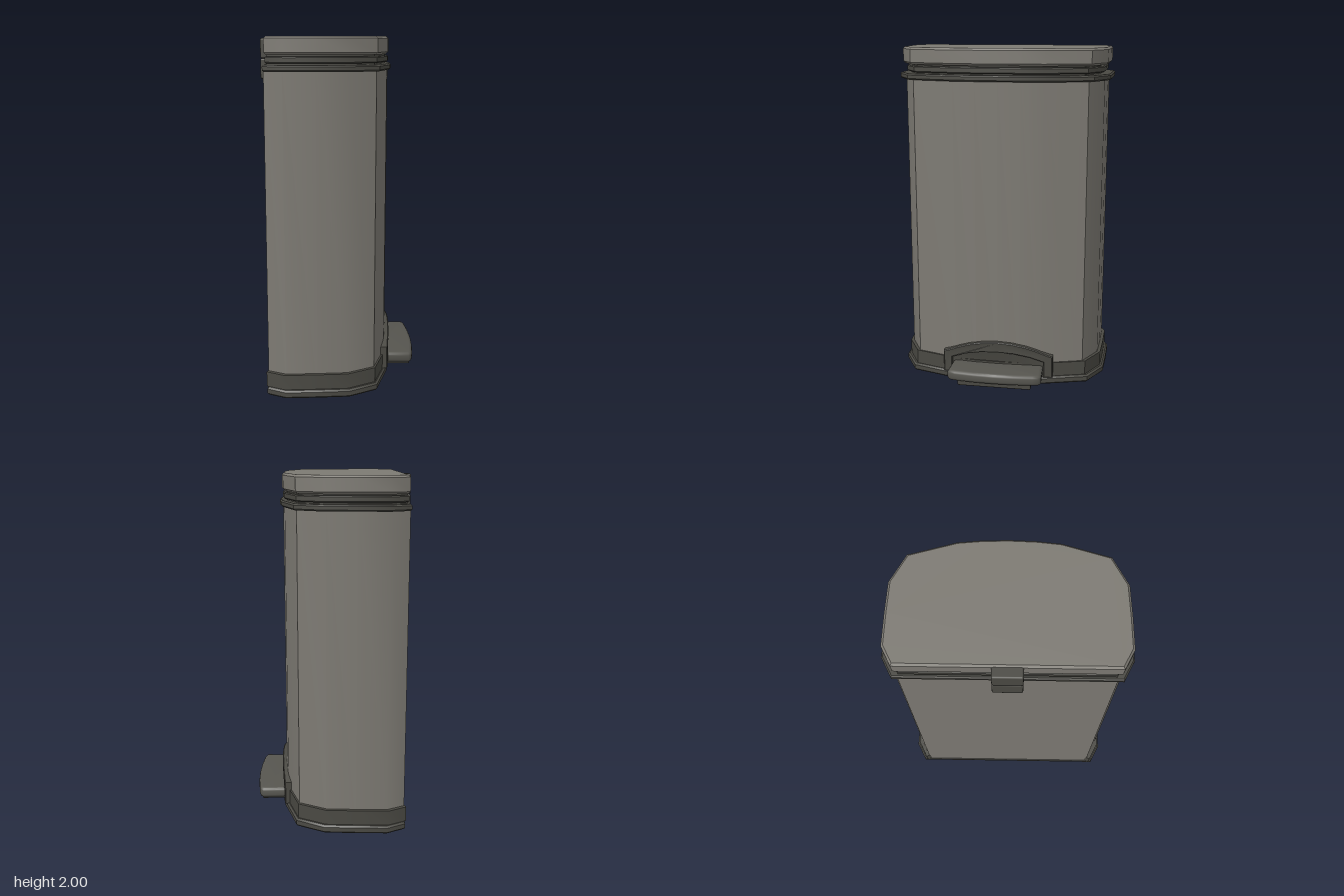
import * as THREE from 'three';
import { toCreasedNormals } from 'three/addons/utils/BufferGeometryUtils.js';
import { RoundedBoxGeometry } from 'three/addons/geometries/RoundedBoxGeometry.js';

const steel = new THREE.MeshStandardMaterial({ color: 0x7d7a73 });
const plastic = new THREE.MeshStandardMaterial({ color: 0x4a4943 });
const pedalMaterial = new THREE.MeshStandardMaterial({ color: 0x56554f });

// Half of the D-shaped footprint: x runs 0 (flat back) to 1 (front), z runs 0 to 1
const HALF = [[1, 0], [0.994, 0.22], [0.975, 0.43], [0.868, 0.84], [0.645, 0.977],
  [0.4, 0.992], [0.147, 1], [0, 0.915]];

// Footprint points from one back corner round the front to the other
function outline(back, front, halfDepth) {
  const side = HALF.map(([x, z]) => new THREE.Vector2(back + x * (front - back), z * halfDepth));
  const other = side.slice(1).reverse().map((p) => new THREE.Vector2(p.x, -p.y));
  return [...other, ...side];
}

// Extrude with a bevel that stays inside the given size
function extrude(points, depth, bevel, crease = 0.6, segments = 1) {
  const geometry = new THREE.ExtrudeGeometry(new THREE.Shape(points), {
    depth: depth - 2 * bevel, bevelEnabled: bevel > 0, bevelThickness: bevel,
    bevelSize: bevel, bevelOffset: -bevel, bevelSegments: segments,
  });
  geometry.translate(0, 0, bevel);
  return toCreasedNormals(geometry, crease);
}

// Horizontal slab between two heights
function slab(points, y0, y1, bevel, crease, segments) {
  return extrude(points, y1 - y0, bevel, crease, segments).rotateX(-Math.PI / 2).translate(0, y0, 0);
}

// Upright plate drawn in (z, y), bent to follow the curved front
function frontPlate(points, depth, front, bevel) {
  const geometry = extrude(points, depth, bevel).rotateY(Math.PI / 2);
  const position = geometry.attributes.position;
  for (let i = 0; i < position.count; i++) {
    const z = position.getZ(i);
    position.setX(i, position.getX(i) - depth + front - 0.215 * z * z);
  }
  geometry.computeVertexNormals();
  return toCreasedNormals(geometry, 0.6);
}

// Mirror a half profile that ends on the centre line
function mirrored(half) {
  const points = half.map(([x, y]) => new THREE.Vector2(x, y));
  return [...points, ...points.slice(0, -1).reverse().map((p) => new THREE.Vector2(-p.x, p.y))];
}

export function createModel() {
  const group = new THREE.Group();
  const add = (name, geometry, material) => {
    const mesh = new THREE.Mesh(geometry, material);
    mesh.name = name;
    group.add(mesh);
  };

  // Main bin
  add('body', slab(outline(-0.41, 0.285, 0.605), 0.03, 1.83, 0), steel);

  // Base: foot plate and a skirt that leaves the flat back open
  add('foot', slab(outline(-0.415, 0.305, 0.645), 0, 0.046, 0.01), plastic);
  const skirt = [...outline(-0.42, 0.293, 0.625), ...outline(-0.409, 0.27, 0.59).reverse()];
  add('skirt', slab(skirt, 0.046, 0.132, 0), plastic);

  // Arched hood round the pedal opening, with a recessed panel
  const archOuter = mirrored([[0.335, 0.046], [0.335, 0.18], [0.305, 0.19], [0.24, 0.217],
    [0.17, 0.24], [0.09, 0.256], [0, 0.262]]);
  const archInner = mirrored([[0.28, 0.046], [0.28, 0.145], [0.2, 0.173], [0.1, 0.192], [0, 0.197]]);
  add('pedalHood', frontPlate([...archOuter, ...archInner.slice().reverse()], 0.06, 0.31, 0.005), plastic);
  add('pedalRecess', frontPlate(archInner, 0.03, 0.296, 0), plastic);

  // Pedal with a gently bowed front edge, and its lever underneath
  const pedal = mirrored([[0.272, 0.2], [0.282, 0.42], [0.268, 0.437], [0.235, 0.445],
    [0.12, 0.456], [0, 0.46]]).map((p) => new THREE.Vector2(p.y, p.x));
  add('pedal', slab(pedal.reverse(), 0.058, 0.12, 0.018, 0.9, 3), pedalMaterial);
  add('pedalLever', new RoundedBoxGeometry(0.21, 0.04, 0.44, 2, 0.008).translate(0.325, 0.046, 0), plastic);

  // Rim, neck and lid
  add('rim', slab(outline(-0.414, 0.303, 0.64), 1.815, 1.85, 0.008), plastic);
  add('neckCore', slab(outline(-0.395, 0.27, 0.575), 1.84, 1.91, 0), plastic);
  add('neck', slab(outline(-0.402, 0.287, 0.598), 1.858, 1.894, 0.006), plastic);
  add('lid', slab(outline(-0.405, 0.29, 0.622), 1.902, 2, 0.012), steel);

  // Two-block hinge on the back
  for (const [name, y, height] of [['hingeLower', 1.814, 0.118], ['hingeUpper', 1.932, 0.116]]) {
    add(name, new RoundedBoxGeometry(0.07, height, 0.16, 2, 0.01).translate(-0.425, y, 0), plastic);
  }
  return group;
}
